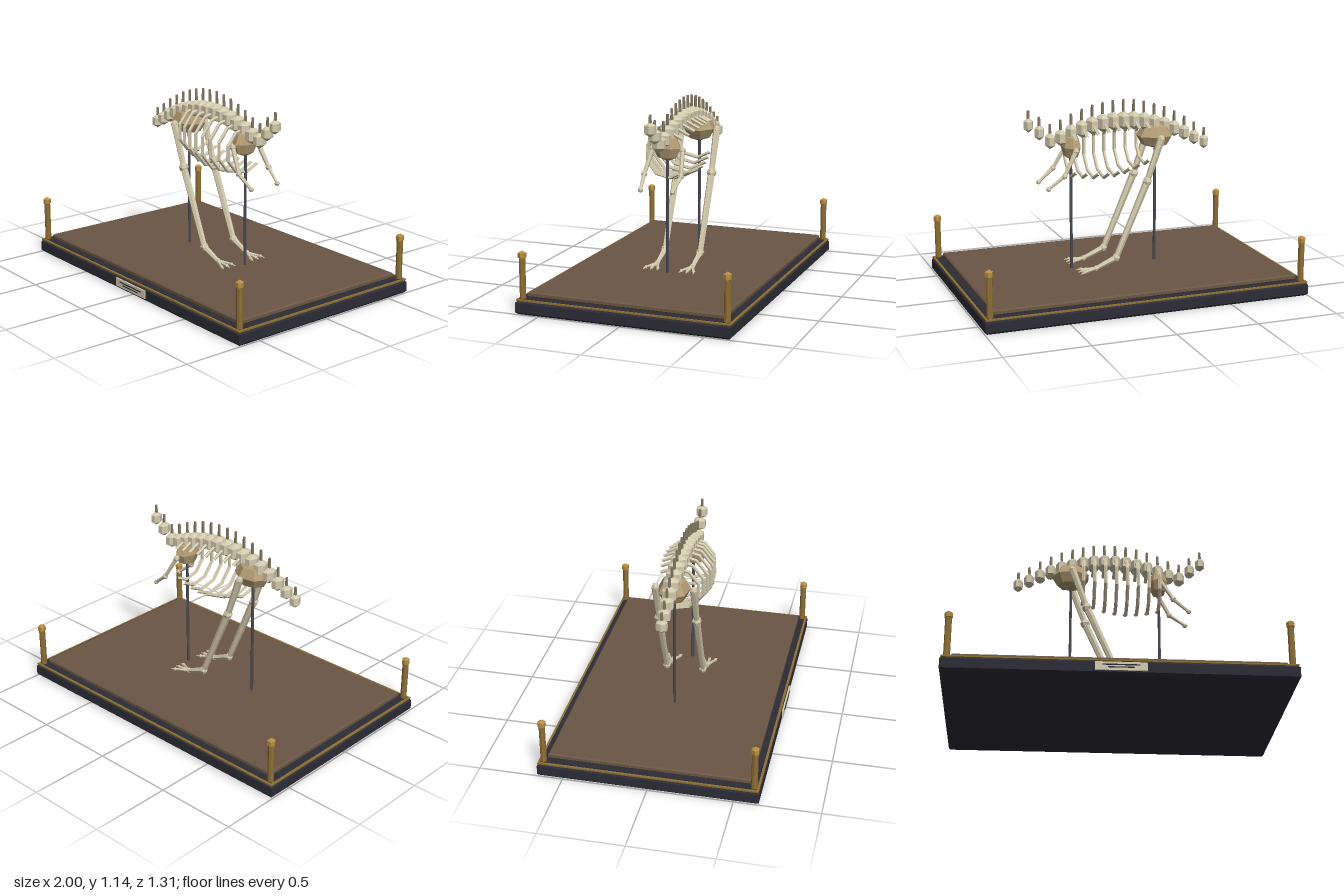
import * as THREE from 'three';

const mat = (name, color) => {
  const m = new THREE.MeshStandardMaterial({ color, flatShading: true });
  m.name = name;
  return m;
};

export function createModel() {
  const bone = mat('bone', 0xd2c9ac);
  const agedBone = mat('aged bone', 0xb39c74);
  const spineBone = mat('dark bone', 0x857a62);
  const black = mat('black lacquer', 0x2c2c36);
  const brass = mat('brass', 0x8f6f35);
  const gold = mat('bright brass', 0xb88d42);
  const ground = mat('brown ground', 0x6a5645);
  const steel = mat('dark steel', 0x494953);
  const ivory = mat('ivory', 0xd6cdb0);

  const model = new THREE.Group();
  model.name = 'mountedSkeleton';

  const add = (name, geo, material, x = 0, y = 0, z = 0, parent = model) => {
    const mesh = new THREE.Mesh(geo, material);
    mesh.name = name;
    mesh.position.set(x, y, z);
    parent.add(mesh);
    return mesh;
  };
  const group = (name) => {
    const g = new THREE.Group();
    g.name = name;
    model.add(g);
    return g;
  };
  const box = (w, h, d) => new THREE.BoxGeometry(w, h, d);
  const blob = (rx, ry, rz, sides = 6, rings = 3) =>
    new THREE.SphereGeometry(1, sides, rings).scale(rx, ry, rz);

  // Slab with chamfered edges, standing on y = 0
  const slab = (w, h, d, c) => {
    const a = w / 2 - c, b = d / 2 - c;
    const s = new THREE.Shape([[-a, -b], [a, -b], [a, b], [-a, b]].map((p) => new THREE.Vector2(...p)));
    return new THREE.ExtrudeGeometry(s, {
      depth: h - 2 * c, bevelEnabled: true, bevelThickness: c, bevelSize: c, bevelSegments: 1,
    }).rotateX(-Math.PI / 2).translate(0, c, 0);
  };

  // Tapered bone between two points
  const limb = (name, from, to, r0, r1, parent, sides = 6) => {
    const a = new THREE.Vector3(...from), b = new THREE.Vector3(...to);
    const dir = b.clone().sub(a);
    const mesh = add(name, new THREE.CylinderGeometry(r1, r0, dir.length(), sides), bone, 0, 0, 0, parent);
    mesh.position.copy(a).add(b).multiplyScalar(0.5);
    mesh.quaternion.setFromUnitVectors(new THREE.Vector3(0, 1, 0), dir.normalize());
  };
  const joint = (name, p, r, parent) => add(name, blob(r, r, r, 6, 4), bone, ...p, parent);

  // Display base
  const zc = -0.003;
  add('plinth', slab(2, 0.08, 1.296, 0.012), black, 0, 0, zc);
  add('plinthTrim', box(1.99, 0.009, 1.29), brass, 0, 0.0835, zc);
  add('plinthTop', box(1.962, 0.006, 1.262), black, 0, 0.087, zc);
  add('groundSlab', slab(1.88, 0.033, 1.19, 0.008), ground, 0, 0.089, zc);

  // Corner posts
  for (const x of [-0.963, 0.963]) {
    for (const z of [-0.615, 0.615]) {
      add('cornerPost', new THREE.CylinderGeometry(0.019, 0.019, 0.24, 8), brass, x, 0.208, z + zc);
      add('postCap', blob(0.028, 0.028, 0.028), gold, x, 0.342, z + zc);
    }
  }

  // Blank plaque with engraved bars
  add('plaque', box(0.29, 0.05, 0.009), ivory, 0, 0.044, 0.649);
  add('plaqueBar', box(0.21, 0.007, 0.003), black, 0, 0.052, 0.654);
  add('plaqueBar', box(0.15, 0.006, 0.003), black, 0, 0.037, 0.654);

  // Support rods
  for (const [x, top] of [[-0.265, 0.9], [0.278, 0.88]]) {
    add('supportRod', new THREE.CylinderGeometry(0.009, 0.009, top - 0.12, 6), steel, x, (top + 0.12) / 2, 0);
  }

  // Backbone: vertebra bodies, upright spines and ribs
  const heights = [0.85, 0.882, 0.917, 0.947, 0.972, 0.99, 1.005, 1.015, 1.018,
    1.018, 1.012, 1.002, 0.985, 0.965, 0.94, 0.925, 0.98, 1.03];
  const backbone = group('backbone');
  const ribs = group('ribCage');
  heights.forEach((y, i) => {
    const x = -0.59 + i * 0.0664;
    const t = Math.max(0, Math.sin((Math.PI * i) / 17));
    const ry = 0.045 + 0.015 * t;
    add('vertebra', blob(0.033 + 0.012 * t, ry, 0.042 + 0.024 * t), bone, x, y, 0, backbone);
    const top = 0.086 + 0.041 * t, low = ry * 0.8;
    add('vertebraSpine', new THREE.CylinderGeometry(0.008, 0.01, top - low, 5), spineBone,
      x, y + (top + low) / 2, 0, backbone);

    if (i >= 6 && i <= 13) {
      const r = 0.127 + 0.046 * Math.sin((Math.PI * (i - 5.5)) / 8);
      const arc = new THREE.TorusGeometry(r, 0.011, 5, 7, Math.PI * 1.5)
        .rotateZ(-Math.PI * 0.75).rotateY(-Math.PI / 2);
      add('rib', arc, bone, x, y - r + 0.008, 0, ribs);
    }
  });

  // Hip and shoulder girdles
  add('pelvis', blob(0.12, 0.08, 0.098, 7, 4), agedBone, -0.265, 0.913, 0);
  add('shoulderGirdle', blob(0.06, 0.082, 0.088, 7, 4), agedBone, 0.275, 0.882, 0);

  // Limbs, mirrored across z
  for (const s of [1, -1]) {
    const side = s > 0 ? 'front' : 'back';
    const leg = group(side + 'Leg');
    const z = 0.115 * s;
    const hip = [-0.26, 0.91, z], knee = [-0.17, 0.655, z], ankle = [0.03, 0.195, z], ball = [0.16, 0.14, z];
    joint('hipJoint', hip, 0.024, leg);
    limb('thighBone', hip, knee, 0.023, 0.018, leg);
    joint('kneeJoint', knee, 0.031, leg);
    limb('shinBone', knee, ankle, 0.023, 0.018, leg);
    joint('ankleJoint', ankle, 0.026, leg);
    limb('footBone', ankle, ball, 0.018, 0.013, leg);
    joint('toeJoint', ball, 0.018, leg);
    for (const spread of [-0.038, 0, 0.038]) {
      const tip = [0.245, 0.133, z + spread];
      limb('toe', ball, tip, 0.01, 0.007, leg, 5);
      joint('toeTip', tip, 0.011, leg);
      limb('claw', tip, [0.275, 0.128, z + spread * 1.2], 0.008, 0.002, leg, 5);
    }

    const arm = group(side + 'Arm');
    const shoulder = [0.275, 0.87, 0.095 * s], elbow = [0.355, 0.73, 0.115 * s], wrist = [0.45, 0.655, 0.1 * s];
    joint('shoulderJoint', shoulder, 0.02, arm);
    limb('upperArm', shoulder, elbow, 0.015, 0.012, arm);
    joint('elbowJoint', elbow, 0.019, arm);
    limb('forearm', elbow, wrist, 0.012, 0.009, arm);
    joint('wristJoint', wrist, 0.016, arm);
  }

  return model;
}
